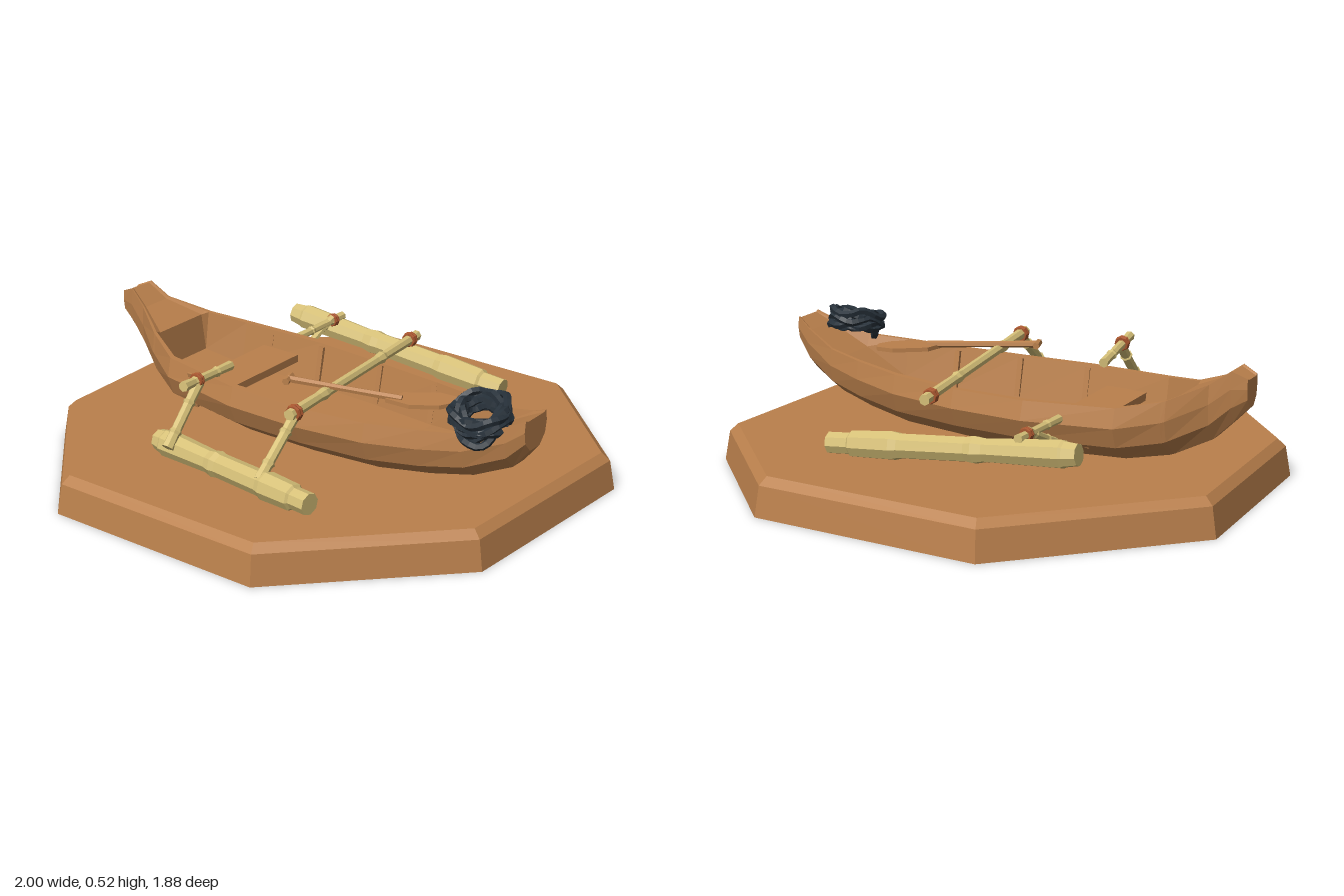
import * as THREE from 'three';

const mat = (name, color) => Object.assign(new THREE.MeshStandardMaterial({ color }), { name });
const V = (x, y, z) => new THREE.Vector3(x, y, z);

export function createModel() {
  const model = new THREE.Group();
  const wood = mat('wood', 0xba804c);
  const bamboo = mat('bamboo', 0xd6c078);
  const rope = mat('rope', 0x27313a);
  const lashing = mat('lashing', 0xa8562f);

  // Facet a geometry and add it as a named mesh
  const add = (name, geo, material, parent = model) => {
    const g = geo.index ? geo.toNonIndexed() : geo;
    g.computeVertexNormals();
    const m = new THREE.Mesh(g, material);
    m.name = name;
    parent.add(m);
    return m;
  };

  // Closed skin through rings of points, capped at both ends
  const loft = (rings) => {
    const pos = [];
    const tri = (...p) => p.forEach((v) => pos.push(v.x, v.y, v.z));
    const n = rings[0].length;
    for (let k = 0; k < rings.length - 1; k++) {
      const a = rings[k], b = rings[k + 1];
      for (let i = 0; i < n; i++) {
        const j = (i + 1) % n;
        tri(a[i], b[i], b[j]);
        tri(a[i], b[j], a[j]);
      }
    }
    const cap = (r, flip) => {
      const c = r.reduce((s, v) => s.add(v), V(0, 0, 0)).divideScalar(n);
      for (let i = 0; i < n; i++) {
        const j = (i + 1) % n;
        if (flip) tri(c, r[j], r[i]); else tri(c, r[i], r[j]);
      }
    };
    cap(rings[0], false);
    cap(rings[rings.length - 1], true);
    const g = new THREE.BufferGeometry();
    g.setAttribute('position', new THREE.Float32BufferAttribute(pos, 3));
    return g;
  };

  // Faceted rod between two points; radii are [fraction along, radius] pairs
  const rod = (name, p, q, radii, material, sides = 7) => {
    const d = q.clone().sub(p), len = d.length();
    const pts = radii.map(([t, r]) => new THREE.Vector2(r, t * len));
    pts.unshift(new THREE.Vector2(0, radii[0][0] * len));
    pts.push(new THREE.Vector2(0, radii[radii.length - 1][0] * len));
    const m = add(name, new THREE.LatheGeometry(pts, sides), material);
    m.position.copy(p);
    m.quaternion.setFromUnitVectors(V(0, 1, 0), d.normalize());
    return m;
  };

  // Bevelled eight-sided base
  const corners = [[-0.395, -0.945], [0.51, -0.94], [1, -0.465], [0.957, 0.364],
    [0.396, 0.93], [-0.5, 0.936], [-0.973, 0.417], [-1, -0.342]];
  add('base', loft([[0, 1], [0.115, 0.98], [0.145, 0.95]].map(([y, s]) =>
    corners.map(([x, z]) => V(x * s, y, z * s)))), wood);

  // Hull stations: x, centre z, half width, keel y, rim y, floor y, bottom fullness
  const stations = [
    [-0.972, 0.005, 0.045, 0.38, 0.49, 0.485, 0.4],
    [-0.915, 0.005, 0.06, 0.32, 0.515, 0.51, 0.35],
    [-0.84, 0.005, 0.08, 0.245, 0.46, 0.455, 0.35],
    [-0.715, 0.0, 0.165, 0.185, 0.405, 0.395, 0.42],
    [-0.7, 0.0, 0.172, 0.18, 0.4, 0.25, 0.44],
    [-0.55, 0.01, 0.25, 0.157, 0.372, 0.205, 0.55],
    [-0.2, 0.015, 0.295, 0.15, 0.36, 0.195, 0.62],
    [0.1, 0.02, 0.285, 0.15, 0.356, 0.195, 0.62],
    [0.38, 0.025, 0.25, 0.153, 0.362, 0.2, 0.58],
    [0.58, 0.03, 0.2, 0.172, 0.375, 0.23, 0.5],
    [0.74, 0.035, 0.148, 0.2, 0.388, 0.34, 0.42],
    [0.89, 0.045, 0.095, 0.27, 0.44, 0.43, 0.4],
    [0.955, 0.05, 0.07, 0.35, 0.472, 0.467, 0.45],
  ];
  add('hull', loft(stations.map(([x, c, w, y0, y1, f, b]) => {
    const h = y1 - y0;
    const side = [[0.96, y1], [1.03, y0 + h * 0.66], [0.92, y0 + h * 0.3], [b, y0]];
    const inner = [[0.87, y1], [0.74, f]];
    const pt = (s) => ([u, y]) => V(x, y, c + s * u * w);
    return [...side.map(pt(-1)), ...side.slice().reverse().map(pt(1)),
      ...inner.map(pt(1)), ...inner.slice().reverse().map(pt(-1))];
  })), wood);

  // Bench and side ribs inside the hull
  add('bench', new THREE.BoxGeometry(0.17, 0.03, 0.44), wood).position.set(-0.375, 0.285, 0.015);
  for (const [x, w] of [[-0.43, 0.232], [-0.19, 0.24], [0.1, 0.232], [0.37, 0.205]]) {
    for (const s of [-1, 1]) {
      const rib = add('rib', new THREE.BoxGeometry(0.022, 0.15, 0.022), wood);
      rib.position.set(x, 0.275, 0.02 + s * w);
      rib.rotation.x = s * 0.2;
    }
  }

  // Jointed bamboo floats
  const joints = [[0, 0.04], [0.05, 0.047], [0.06, 0.052], [0.36, 0.044], [0.4, 0.051],
    [0.43, 0.046], [0.7, 0.047], [0.73, 0.054], [0.9, 0.05], [0.91, 0.041], [1, 0.041]];
  rod('frontFloat', V(-0.345, 0.2, 0.55), V(0.42, 0.2, 0.632), joints, bamboo, 8);
  rod('backFloat', V(-0.58, 0.3, -0.56), V(0.41, 0.2, -0.605), joints, bamboo, 8);

  // Bamboo cross poles and legs
  const pole = (name, p, q, r) => rod(name, p, q,
    [[0, r], [0.28, r * 0.88], [0.3, r * 1.15], [0.34, r * 0.9], [0.72, r * 0.9],
      [0.75, r * 1.15], [0.79, r * 0.92], [1, r * 1.05]], bamboo);
  pole('longPole', V(0.075, 0.38, -0.495), V(0.187, 0.405, 0.45), 0.021);
  pole('longPoleLeg', V(0.185, 0.405, 0.4), V(0.19, 0.22, 0.625), 0.022);
  pole('shortPole', V(-0.285, 0.395, 0.21), V(-0.245, 0.425, 0.52), 0.019);
  pole('shortPoleLeg', V(-0.25, 0.41, 0.43), V(-0.24, 0.22, 0.62), 0.022);
  pole('backPole', V(-0.365, 0.325, -0.3), V(-0.36, 0.33, -0.59), 0.017);
  pole('backBrace', V(-0.37, 0.25, -0.335), V(-0.36, 0.34, -0.52), 0.016);

  // Lashings wound round the joints
  const bind = (p, q, r) => rod('lashing', p, q,
    [[0, r], [0.25, r * 1.12], [0.5, r], [0.75, r * 1.12], [1, r]], lashing, 8);
  bind(V(0.079, 0.381, -0.455), V(0.083, 0.382, -0.425), 0.027);
  bind(V(0.183, 0.402, 0.4), V(0.186, 0.403, 0.43), 0.029);
  bind(V(-0.257, 0.416, 0.42), V(-0.254, 0.419, 0.445), 0.027);
  bind(V(-0.36, 0.33, -0.515), V(-0.36, 0.33, -0.54), 0.024);

  // Paddle: shaft, cross grip and flat blade
  rod('paddleShaft', V(0.01, 0.425, 0.23), V(0.42, 0.405, 0.09),
    [[0, 0.014], [0.5, 0.012], [1, 0.014]], wood, 6);
  rod('paddleGrip', V(0, 0.425, 0.2), V(0.02, 0.425, 0.26), [[0, 0.014], [1, 0.014]], wood, 6);
  const outline = [[0.37, 0.125], [0.39, 0.04], [0.5, -0.04], [0.57, -0.045],
    [0.59, 0], [0.56, 0.06], [0.47, 0.12]];
  const bladeGeo = new THREE.ExtrudeGeometry(
    new THREE.Shape(outline.map(([x, z]) => new THREE.Vector2(x, -z))),
    { depth: 0.016, bevelEnabled: false });
  const blade = add('paddleBlade', bladeGeo, wood);
  blade.rotation.x = -Math.PI / 2;
  blade.position.y = 0.39;

  // Tangled rope coil draped over the bow
  const coil = new THREE.Group();
  coil.name = 'ropeCoil';
  const loop = (r, y, seed, sag) => {
    const pts = [];
    for (let i = 0; i < 16; i++) {
      const a = (i / 16) * Math.PI * 2;
      const rr = r + 0.008 * Math.sin(a * 3 + seed * 2);
      const z = Math.sin(a) * rr;
      pts.push(V(Math.cos(a) * rr, y + 0.012 * Math.sin(a * 4 + seed * 1.7) - sag * Math.max(0, z), z));
    }
    add('ropeLoop', new THREE.TubeGeometry(new THREE.CatmullRomCurve3(pts, true), 28, 0.015, 5, true), rope, coil);
  };
  [[0.1, 0.0], [0.085, 0.022], [0.068, 0.012], [0.1, 0.028], [0.08, -0.02], [0.066, -0.012], [0.094, -0.018]]
    .forEach(([r, y], i) => loop(r, y, i, 0.1));
  loop(0.09, -0.02, 8, 0.55);
  loop(0.08, -0.025, 10, 0.45);
  coil.position.set(0.777, 0.455, 0.12);
  coil.rotation.x = 0.22;
  model.add(coil);

  return model;
}
